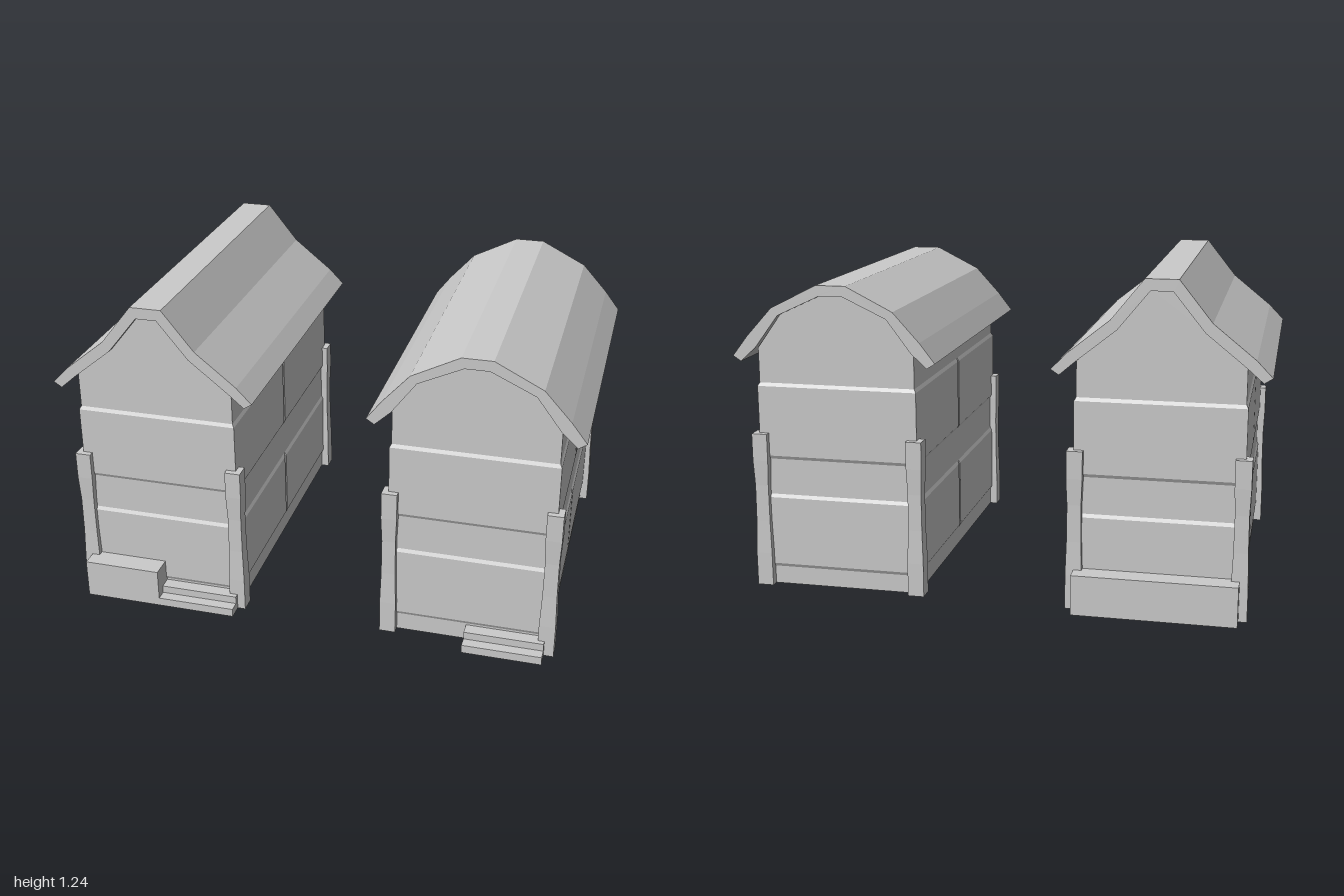
import * as THREE from 'three';

const material = new THREE.MeshStandardMaterial({
  color: 0xcccccc, flatShading: true, side: THREE.DoubleSide,
});

const HALF_X = 0.304, HALF_Z = 0.605, WALL_TOP = 0.933;

function add(parent, name, geometry, x = 0, y = 0, z = 0) {
  const mesh = new THREE.Mesh(geometry, material);
  mesh.name = name;
  mesh.position.set(x, y, z);
  parent.add(mesh);
  return mesh;
}

// Box given by its limits
function block(parent, name, x0, x1, y0, y1, z0, z1) {
  add(parent, name, new THREE.BoxGeometry(x1 - x0, y1 - y0, z1 - z0),
    (x0 + x1) / 2, (y0 + y1) / 2, (z0 + z1) / 2);
}

// Open wall shell: two rows of raised panels, split by a groove on each long side
function wallGeometry() {
  const d = 0.007;
  const levels = [
    [0, 0], [0.07, 0], [0.083, d], [0.35, d], [0.363, 0],
    [0.503, 0], [0.516, d], [0.787, d], [0.8, 0], [WALL_TOP, 0],
  ];
  const positions = [], indices = [];
  for (const [y, b] of levels) {
    const x = HALF_X + b, z = HALF_Z + b;
    const ring = [
      [x, z], [x, 0.008], [HALF_X, 0], [x, -0.008], [x, -z],
      [-x, -z], [-x, -0.008], [-HALF_X, 0], [-x, 0.008], [-x, z],
    ];
    for (const [px, pz] of ring) positions.push(px, y, pz);
  }
  const n = 10;
  for (let j = 0; j < levels.length - 1; j++) {
    for (let i = 0; i < n; i++) {
      const a = j * n + i, b = j * n + (i + 1) % n;
      indices.push(a, b, b + n, a, b + n, a + n);
    }
  }
  const geometry = new THREE.BufferGeometry();
  geometry.setAttribute('position', new THREE.Float32BufferAttribute(positions, 3));
  geometry.setIndex(indices);
  geometry.computeVertexNormals();
  return geometry;
}

// Corner post, slightly waisted between its ends
function postGeometry() {
  const heights = [0, 0.13, 0.26, 0.4, 0.5, 0.605];
  const halves = [0.031, 0.031, 0.027, 0.026, 0.03, 0.03];
  const geometry = new THREE.BoxGeometry(2, 5, 2, 1, 5, 1);
  const p = geometry.attributes.position;
  for (let i = 0; i < p.count; i++) {
    const level = Math.round(p.getY(i) + 2.5);
    p.setXYZ(i, p.getX(i) * halves[level], heights[level], p.getZ(i) * halves[level]);
  }
  geometry.computeVertexNormals();
  return geometry;
}

// Full outline from its right half, listed from eave to ridge
const mirrored = (half) => [
  ...half, ...half.map(([x, y]) => [-x, y]).reverse(),
].map(([x, y]) => new THREE.Vector2(x, y));

// Wagon-like hut: walls, posts, gables and a bent roof
function buildHut(name, centerX, outer, inner) {
  const hut = new THREE.Group();
  hut.name = name;
  hut.position.x = centerX;

  add(hut, 'walls', wallGeometry());
  for (const sx of [-1, 1]) {
    for (const sz of [-1, 1]) {
      add(hut, 'cornerPost', postGeometry(), sx * 0.304, 0, sz * 0.605);
    }
  }

  // Roof shell of even thickness
  const roofShape = new THREE.Shape([...mirrored(outer), ...mirrored(inner).reverse()]);
  const roof = new THREE.ExtrudeGeometry(roofShape, { depth: 1.27, bevelEnabled: false });
  add(hut, 'roof', roof, 0, 0, -0.635);

  // Gables fill the ends under the roof
  const gableHalf = [[HALF_X, WALL_TOP], ...inner.slice(2)];
  const gable = new THREE.ShapeGeometry(new THREE.Shape(mirrored(gableHalf)));
  add(hut, 'frontGable', gable, 0, 0, HALF_Z);
  add(hut, 'backGable', gable, 0, 0, -HALF_Z).rotation.y = Math.PI;
  return hut;
}

// Two low steps against the front wall
function addSteps(hut, x0, x1) {
  block(hut, 'lowerStep', x0, x1, 0, 0.033, 0.6, 0.697);
  block(hut, 'upperStep', x0, x1, 0.033, 0.063, 0.6, 0.655);
}

export function createModel() {
  const model = new THREE.Group();
  model.name = 'twoHuts';

  const peaked = buildHut('peakedHut', -0.607,
    [[0.393, 0.905], [0.335, 0.965], [0.18, 1.09], [0.06, 1.24]],
    [[0.362, 0.885], [0.302, 0.937], [0.155, 1.055], [0.04, 1.197]]);
  addSteps(peaked, -0.002, 0.304);
  block(peaked, 'frontBox', -0.304, -0.002, 0, 0.153, 0.6, 0.697);
  block(peaked, 'backBox', -0.304, 0.304, 0, 0.153, -0.697, -0.6);

  const rounded = buildHut('roundedHut', 0.607,
    [[0.393, 0.905], [0.235, 1.09], [0.057, 1.18]].toSpliced(1, 0, [0.335, 0.98]),
    [[0.362, 0.885], [0.302, 0.94], [0.21, 1.063], [0.045, 1.14]]);
  addSteps(rounded, -0.004, 0.298);

  model.add(peaked, rounded);
  return model;
}
